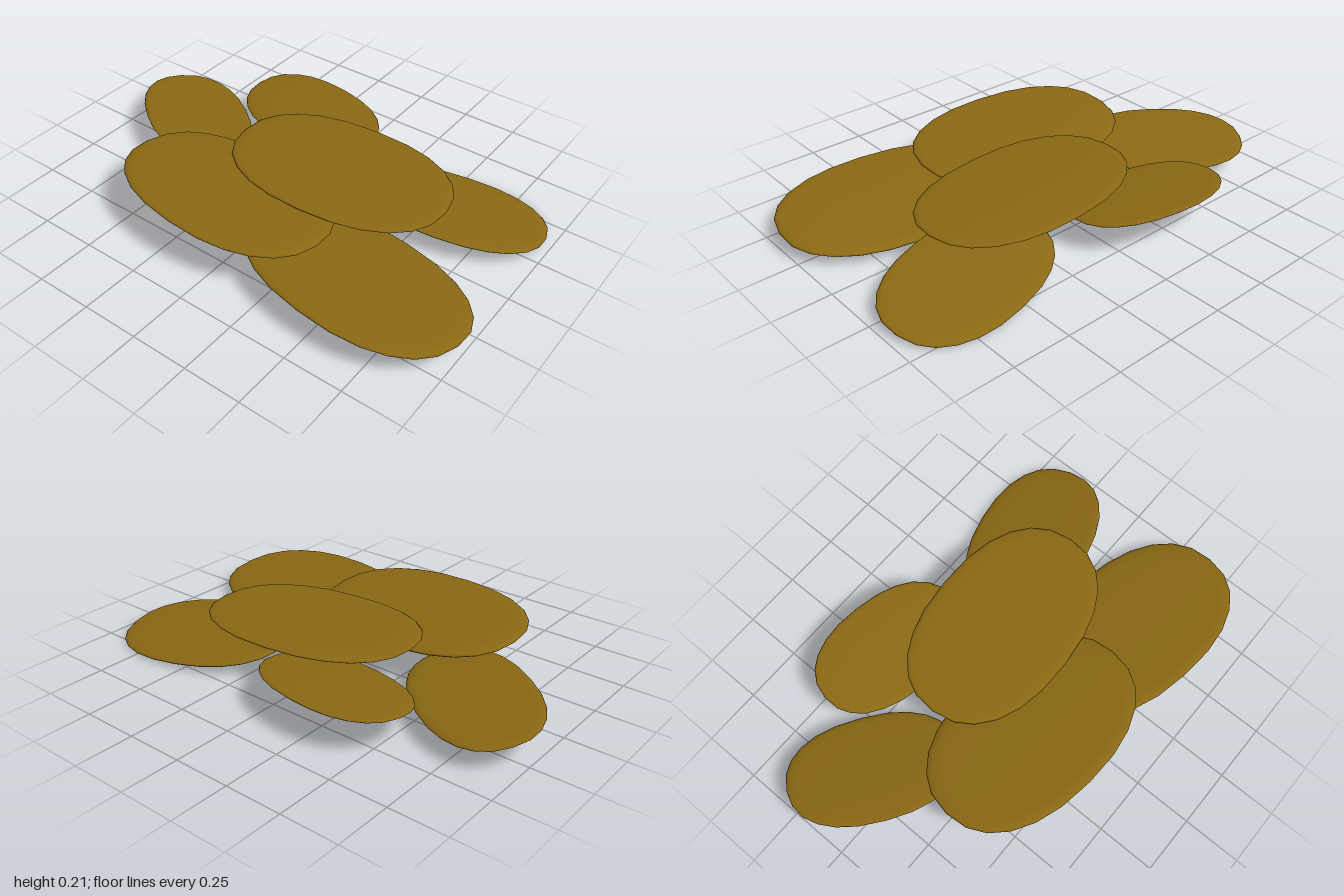
import * as THREE from 'three';
import { mergeVertices } from 'three/addons/utils/BufferGeometryUtils.js';

const material = new THREE.MeshStandardMaterial({ color: 0x8b6914 });

// Half profile of a thin plate with a softly rounded rim: [radius, height]
const PROFILE = [
  [0, -1], [0.5, -0.97], [0.85, -0.88], [0.94, -0.7], [0.985, -0.35], [1, 0],
  [0.985, 0.35], [0.94, 0.7], [0.85, 0.88], [0.5, 0.97], [0, 1],
].map(([r, h]) => new THREE.Vector2(r, h));

const rounded = (v) => Math.sign(v) * Math.pow(Math.abs(v), 0.87);

// One oval plate: centre, half extents in plan, turn about y, and rise of y along x and z
function plate({ name, at, half, thick, turn, slope }) {
  let geo = new THREE.LatheGeometry(PROFILE, 24);
  geo.deleteAttribute('normal');
  geo.deleteAttribute('uv');
  geo = mergeVertices(geo, 1e-4);
  const pos = geo.attributes.position;
  const c = Math.cos(turn), s = Math.sin(turn);

  // Oval outline with fuller shoulders, turned in plan
  for (let i = 0; i < pos.count; i++) {
    const x = pos.getX(i), z = pos.getZ(i);
    const r = Math.hypot(x, z) || 1;
    const u = 0.64 * r * rounded(x / r), v = r * rounded(z / r);
    pos.setXYZ(i, u * c - v * s, pos.getY(i) * thick, u * s + v * c);
  }

  // Fit to the plan size, then tilt
  geo.computeBoundingBox();
  const { max } = geo.boundingBox;
  geo.scale(half[0] / max.x, 1, half[1] / max.z);
  for (let i = 0; i < pos.count; i++) {
    pos.setY(i, pos.getY(i) + slope[0] * pos.getX(i) + slope[1] * pos.getZ(i));
  }
  geo.computeVertexNormals();
  geo.computeBoundingBox();
  geo.computeBoundingSphere();

  const mesh = new THREE.Mesh(geo, material);
  mesh.name = name;
  mesh.position.set(...at);
  return mesh;
}

export function createModel() {
  const group = new THREE.Group();
  group.name = 'overlappingPlates';
  const plates = [
    { name: 'frontRightPlate', at: [-0.32, 0.088, 0.51], half: [0.32, 0.485], thick: 0.015, turn: 0.14, slope: [-0.11, -0.04] },
    { name: 'frontLeftPlate', at: [0.29, 0.062, 0.585], half: [0.272, 0.39], thick: 0.012, turn: -0.22, slope: [-0.155, -0.05] },
    { name: 'middleRightPlate', at: [-0.295, 0.173, -0.145], half: [0.32, 0.485], thick: 0.015, turn: 0.09, slope: [-0.1, -0.037] },
    { name: 'centrePlate', at: [0.095, 0.176, 0.145], half: [0.315, 0.492], thick: 0.011, turn: -0.06, slope: [0.008, -0.022] },
    { name: 'backPlate', at: [0.11, 0.115, -0.67], half: [0.295, 0.33], thick: 0.011, turn: 0.6, slope: [-0.132, -0.069] },
    { name: 'backLeftPlate', at: [0.405, 0.138, -0.235], half: [0.227, 0.345], thick: 0.009, turn: 0.15, slope: [0.1, -0.002] },
  ];
  for (const p of plates) group.add(plate(p));
  return group;
}
